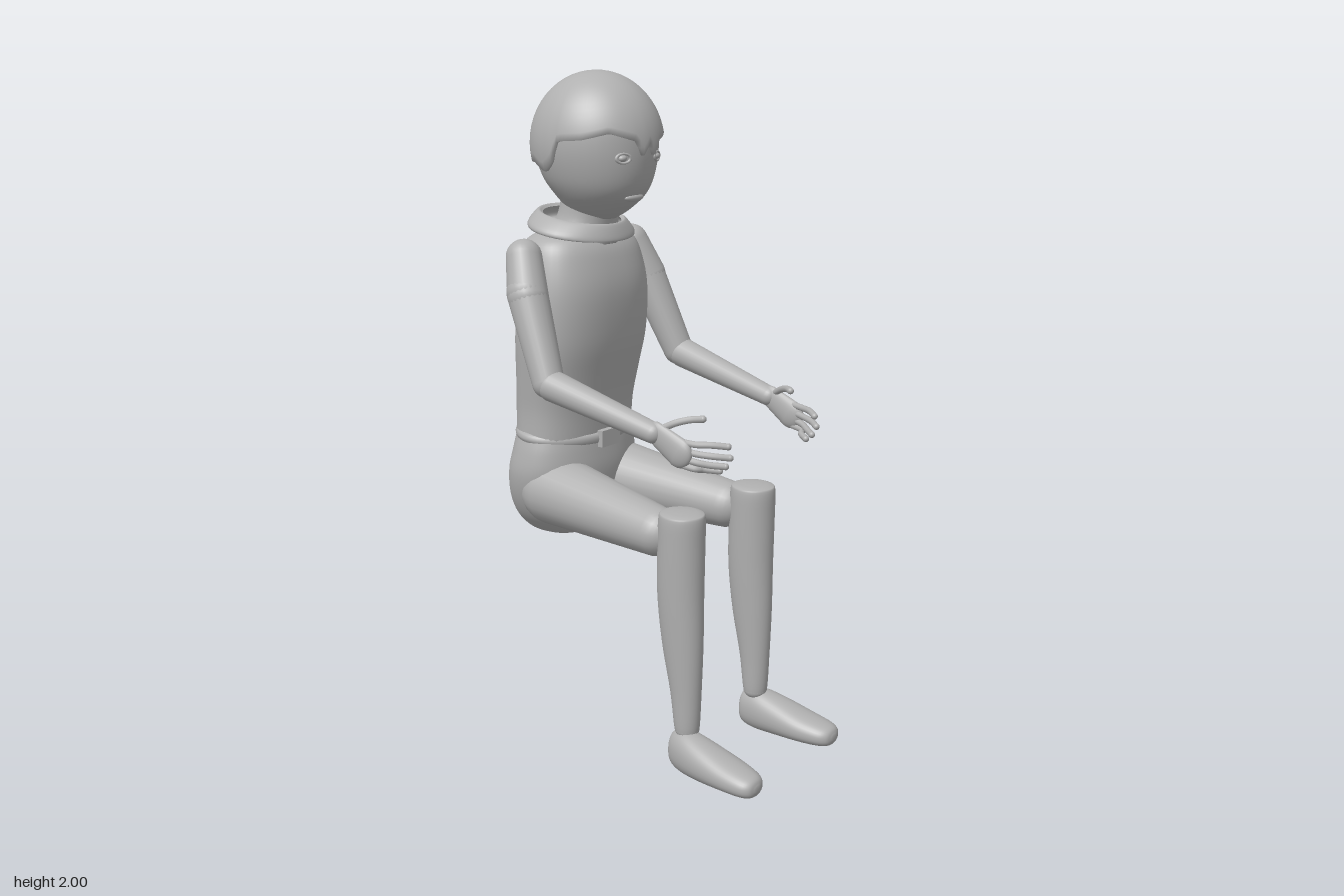
import * as THREE from 'three';

const V = (x, y, z) => new THREE.Vector3(x, y, z);

// Smooth skin over horizontal oval sections, each [y, cx, cz, rx, rz], bottom to top
function loft(sections, { power = 2, sides = 36, steps = 5, closed = true } = {}) {
  const centre = new THREE.CatmullRomCurve3(sections.map(s => V(s[1], s[0], s[2])), false, 'catmullrom');
  const radius = new THREE.CatmullRomCurve3(sections.map(s => V(s[3], 0, s[4])), false, 'catmullrom');
  const rows = (sections.length - 1) * steps, pos = [], idx = [];
  const round = c => Math.sign(c) * Math.abs(c) ** (2 / power);
  for (let i = 0; i <= rows; i++) {
    const c = centre.getPoint(i / rows), r = radius.getPoint(i / rows);
    for (let j = 0; j < sides; j++) {
      const t = (j / sides) * Math.PI * 2;
      pos.push(c.x + r.x * round(Math.cos(t)), c.y, c.z + r.z * round(Math.sin(t)));
    }
  }
  for (let i = 0; i < rows; i++) for (let j = 0; j < sides; j++) {
    const k = (j + 1) % sides, a = i * sides + j, b = i * sides + k;
    idx.push(a, a + sides, b, b, a + sides, b + sides);
  }
  if (closed) {
    const first = sections[0], last = sections[sections.length - 1], n = pos.length / 3;
    pos.push(first[1], first[0], first[2], last[1], last[0], last[2]);
    for (let j = 0; j < sides; j++) {
      const k = (j + 1) % sides, top = rows * sides;
      idx.push(n, j, k, n + 1, top + k, top + j);
    }
  }
  const g = new THREE.BufferGeometry();
  g.setAttribute('position', new THREE.Float32BufferAttribute(pos, 3));
  g.setIndex(idx);
  g.computeVertexNormals();
  return g;
}

// Tapered rod with rounded ends between two points
function limb(a, b, ra, rb, flat = 1) {
  const len = a.distanceTo(b), pts = [];
  for (let i = 0; i <= 8; i++) {
    const t = (i / 8 - 1) * Math.PI / 2;
    pts.push(new THREE.Vector2(Math.max(0, ra * Math.cos(t)), ra * Math.sin(t)));
  }
  for (let i = 0; i <= 8; i++) {
    const t = (i / 8) * Math.PI / 2;
    pts.push(new THREE.Vector2(Math.max(0, rb * Math.cos(t)), len + rb * Math.sin(t)));
  }
  const g = new THREE.LatheGeometry(pts, 24).scale(flat, 1, 1);
  g.applyQuaternion(new THREE.Quaternion().setFromUnitVectors(V(0, 1, 0), b.clone().sub(a).normalize()));
  return g.translate(a.x, a.y, a.z);
}

const ball = (x, y, z, rx, ry, rz) => new THREE.SphereGeometry(1, 24, 16).scale(rx, ry, rz).translate(x, y, z);

// Hair shell: half ellipsoid ending in a wavy edge, [angle from front, edge height]
function hairShell() {
  const edge = [[0, 1.8], [0.13, 1.765], [0.25, 1.805], [0.7, 1.828], [1.1, 1.81], [1.5, 1.805],
    [1.65, 1.74], [1.85, 1.715], [2.1, 1.74], [3.15, 1.74]];
  const edgeAt = t => {
    const i = Math.max(1, edge.findIndex(e => e[0] >= t)), [a, p] = edge[i - 1], [b, q] = edge[i];
    return p + (q - p) * (t - a) / (b - a);
  };
  const g = new THREE.PlaneGeometry(1, 1, 96, 16), p = g.attributes.position;
  for (let i = 0; i < p.count; i++) {
    const t = p.getX(i) * Math.PI * 2, v = p.getY(i) + 0.5;
    const low = Math.asin((edgeAt(Math.abs(t)) - 1.79) / 0.21);
    const up = low + (Math.PI / 2 - low) * Math.max(0, (v - 1 / 16) / (15 / 16));
    const k = v < 0.01 ? 0.93 : 1; // turned-in rim
    p.setXYZ(i, 0.188 * k * Math.cos(up) * Math.sin(t), 1.79 + 0.21 * Math.sin(up),
      -0.24 + 0.205 * k * Math.cos(up) * Math.cos(t));
  }
  g.computeVertexNormals();
  return g;
}

export function createModel() {
  const model = new THREE.Group();
  model.name = 'seatedFigure';
  const grey = new THREE.MeshStandardMaterial({ color: 0xb0b0b0, side: THREE.DoubleSide });
  grey.name = 'plain grey';
  const add = (name, geometry, parent = model) => {
    const m = new THREE.Mesh(geometry, grey);
    m.name = name;
    parent.add(m);
    return m;
  };

  // Head and neck
  add('head', loft([
    [1.575, 0, -0.24, 0.045, 0.06], [1.6, 0, -0.235, 0.085, 0.095], [1.645, 0, -0.23, 0.128, 0.14],
    [1.7, 0, -0.237, 0.158, 0.172], [1.78, 0, -0.242, 0.176, 0.187], [1.86, 0, -0.243, 0.17, 0.18],
    [1.93, 0, -0.243, 0.13, 0.137], [1.98, 0, -0.243, 0.05, 0.05]]));
  add('hair', hairShell());
  add('neck', loft([[1.5, 0, -0.31, 0.15, 0.12], [1.54, 0, -0.3, 0.115, 0.105],
    [1.58, 0, -0.28, 0.092, 0.092], [1.66, 0, -0.26, 0.085, 0.09]]));
  add('mouth', ball(0, 1.642, -0.1, 0.04, 0.013, 0.016));
  for (const s of [1, -1]) {
    add('eye', ball(s * 0.073, 1.758, -0.078, 0.014, 0.01, 0.012));
    add('eyelid', new THREE.TorusGeometry(0.019, 0.005, 8, 24).scale(1.15, 0.7, 1)
      .rotateY(s * 0.4).translate(s * 0.073, 1.758, -0.074));
  }

  // Collar: thin sloping band, raised at the back
  const collar = loft([[1.53, 0, -0.3, 0.15, 0.125], [1.528, 0, -0.305, 0.175, 0.143],
    [1.545, 0, -0.307, 0.172, 0.143], [1.575, 0, -0.305, 0.135, 0.128], [1.57, 0, -0.303, 0.12, 0.115]],
  { closed: false });
  const cp = collar.attributes.position;
  for (let i = 0; i < cp.count; i++) cp.setY(i, cp.getY(i) - (cp.getZ(i) + 0.27) * 0.17);
  collar.computeVertexNormals();
  add('collar', collar);

  // Trunk
  add('torso', loft([
    [0.9, 0, -0.348, 0.208, 0.128], [1.0, 0, -0.342, 0.208, 0.132], [1.1, 0, -0.328, 0.218, 0.138],
    [1.22, 0, -0.312, 0.229, 0.148], [1.36, 0, -0.303, 0.224, 0.148], [1.46, 0, -0.308, 0.208, 0.134],
    [1.51, 0, -0.314, 0.186, 0.116], [1.535, 0, -0.314, 0.14, 0.085]], { power: 2.4, sides: 48 }));
  add('pelvis', loft([
    [0.583, 0, -0.385, 0.095, 0.085], [0.6, 0, -0.387, 0.128, 0.116], [0.65, 0, -0.382, 0.178, 0.134],
    [0.72, 0, -0.37, 0.214, 0.15], [0.8, 0, -0.358, 0.231, 0.15], [0.87, 0, -0.35, 0.224, 0.139],
    [0.93, 0, -0.348, 0.208, 0.13]], { power: 2.2, sides: 48 }));

  // Belt
  const belt = new THREE.TorusGeometry(1, 0.09, 10, 64).rotateX(Math.PI / 2)
    .scale(0.2, 0.2, 0.131).rotateX(0.1).translate(0, 0.918, -0.348);
  add('belt', belt);
  add('beltBuckle', new THREE.BoxGeometry(0.08, 0.052, 0.02).translate(0, 0.905, -0.205));

  for (const s of [1, -1]) {
    const P = (x, y, z) => V(s * x, y, z);

    // Leg
    const leg = new THREE.Group();
    leg.name = s > 0 ? 'leftLeg' : 'rightLeg';
    model.add(leg);
    add('thigh', limb(P(0.127, 0.745, -0.31), P(0.165, 0.717, 0.125), 0.11, 0.073), leg);
    const x = s * 0.17;
    add('shin', loft([
      [0.125, x, 0.243, 0.025, 0.025], [0.135, x, 0.243, 0.036, 0.037], [0.25, x, 0.238, 0.042, 0.048],
      [0.4, x, 0.225, 0.052, 0.065], [0.55, x, 0.217, 0.06, 0.072], [0.7, x, 0.219, 0.064, 0.071],
      [0.78, x, 0.221, 0.064, 0.069], [0.795, x, 0.221, 0.054, 0.058], [0.8, x, 0.221, 0.02, 0.02]]), leg);
    add('ankle', ball(x, 0.135, 0.243, 0.036, 0.03, 0.037), leg);
    // sections run heel to toe: [z, x, -y, half width, half height]
    add('foot', loft([
      [0.195, s * 0.175, -0.065, 0.012, 0.03], [0.205, s * 0.175, -0.066, 0.035, 0.053],
      [0.25, s * 0.18, -0.068, 0.05, 0.066], [0.32, s * 0.186, -0.063, 0.059, 0.059],
      [0.41, s * 0.19, -0.055, 0.061, 0.045], [0.48, s * 0.195, -0.05, 0.052, 0.035],
      [0.51, s * 0.197, -0.048, 0.036, 0.026], [0.52, s * 0.197, -0.047, 0.012, 0.009]],
    { power: 2.2 }).rotateX(Math.PI / 2), leg);

    // Arm
    const arm = new THREE.Group();
    arm.name = s > 0 ? 'leftArm' : 'rightArm';
    model.add(arm);
    add('shoulder', limb(P(0.237, 1.475, -0.315), P(0.265, 1.37, -0.275), 0.053, 0.06), arm);
    add('upperArm', limb(P(0.263, 1.38, -0.28), P(0.296, 1.135, -0.17), 0.06, 0.047), arm);
    add('forearm', limb(P(0.296, 1.127, -0.15), P(0.272, 1.046, 0.2), 0.046, 0.03), arm);

    // Hand
    add('palm', limb(P(0.271, 1.045, 0.21), P(0.264, 1.005, 0.285), 0.034, 0.044)
      .translate(-s * 0.268, 0, 0).scale(0.45, 1, 1).translate(s * 0.268, 0, 0), arm);
    const finger = (name, pts, r) => {
      add(name, new THREE.TubeGeometry(new THREE.CatmullRomCurve3(pts), 14, r, 10), arm);
      const tip = pts[pts.length - 1];
      add(name + 'Tip', ball(tip.x, tip.y, tip.z, r, r, r), arm);
    };
    const tips = [[1.03, 0.408], [1.0, 0.415], [0.973, 0.4], [0.957, 0.38]];
    tips.forEach(([y, z], i) => {
      const root = 1.036 - i * 0.021;
      finger('finger', [P(0.266, root, 0.28), P(0.255, (root + y) / 2, 0.335),
        P(0.235, y + 0.004, z - 0.035), P(0.208, y, z)], 0.0095);
    });
    finger('thumb', [P(0.268, 1.06, 0.225), P(0.252, 1.079, 0.26), P(0.23, 1.09, 0.295),
      P(0.208, 1.092, 0.322)], 0.01);
  }
  return model;
}
